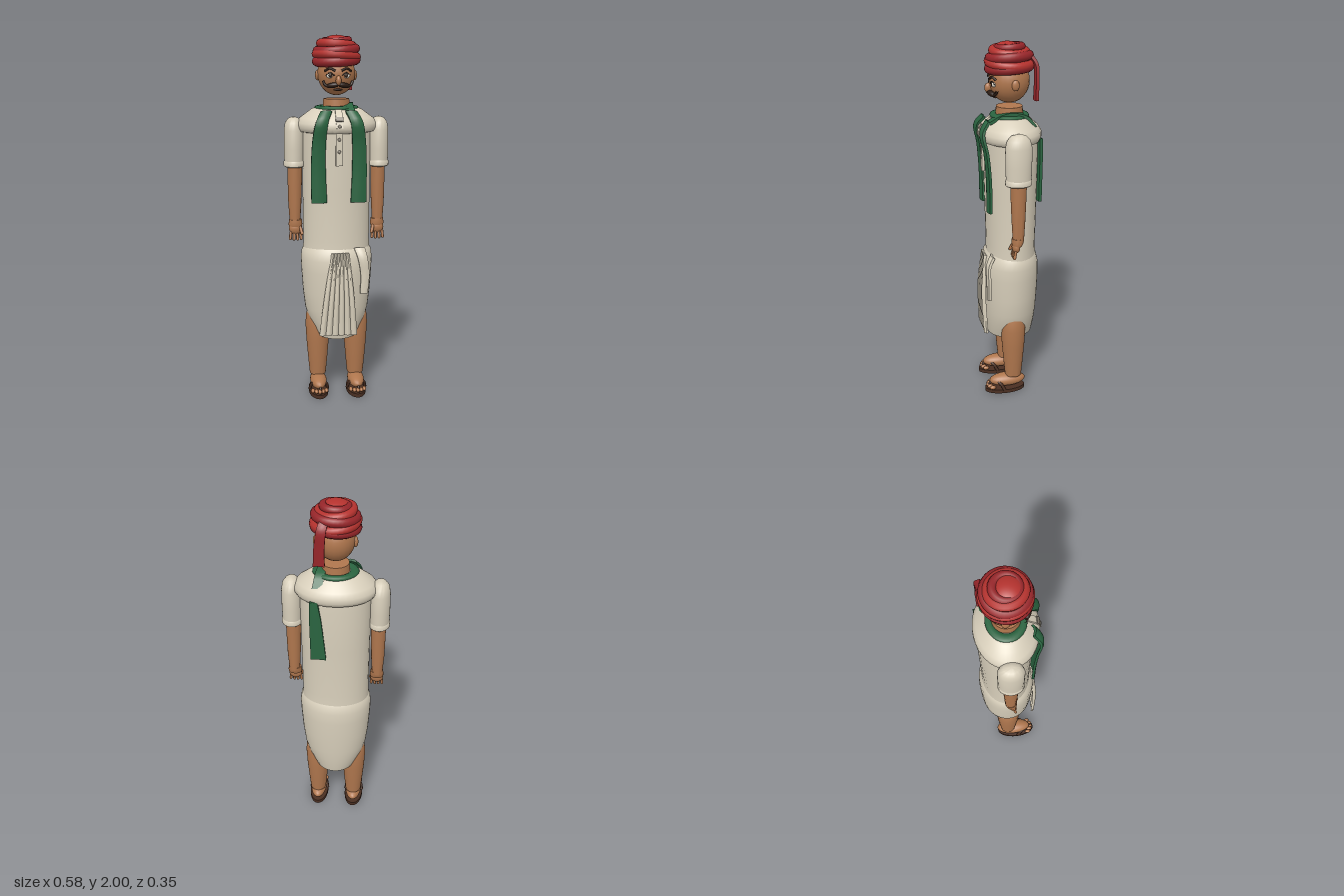
import * as THREE from 'three';
import { toCreasedNormals } from 'three/addons/utils/BufferGeometryUtils.js';

const mat = (name, color) => {
  const m = new THREE.MeshStandardMaterial({ color });
  m.name = name;
  return m;
};

// Closed loft through elliptical rings [y, rx, rz, cx, cz], bottom to top
function loft(rings, sides = 32) {
  const first = rings[0], last = rings[rings.length - 1];
  const all = [[first[0], 0.0005, 0.0005, first[3], first[4]], ...rings,
    [last[0], 0.0005, 0.0005, last[3], last[4]]];
  const pos = [], idx = [];
  all.forEach(([y, rx, rz, cx = 0, cz = 0], i) => {
    for (let j = 0; j < sides; j++) {
      const a = (j / sides) * Math.PI * 2;
      pos.push(cx + Math.sin(a) * rx, y, cz + Math.cos(a) * rz);
      if (i === 0) continue;
      const k = (j + 1) % sides, b = (i - 1) * sides, t = i * sides;
      idx.push(b + j, b + k, t + k, b + j, t + k, t + j);
    }
  });
  const g = new THREE.BufferGeometry();
  g.setAttribute('position', new THREE.Float32BufferAttribute(pos, 3));
  g.setIndex(idx);
  return toCreasedNormals(g, 0.8);
}

// Cloth strip that follows a curve, with width along x
function ribbon(points, w0, w1, thick, bulge = 0) {
  const curve = new THREE.CatmullRomCurve3(points.map((p) => new THREE.Vector3(...p)));
  const g = new THREE.BoxGeometry(1, 1, 1, 6, 16, 1);
  const p = g.attributes.position;
  for (let i = 0; i < p.count; i++) {
    const t = 0.5 - p.getY(i), vx = p.getX(i);
    const c = curve.getPoint(t), d = curve.getTangent(t);
    const off = p.getZ(i) * thick + bulge * (1 - 4 * vx * vx);
    const n = Math.hypot(d.y, d.z) || 1;
    p.setXYZ(i, c.x + vx * (w0 + (w1 - w0) * t), c.y + off * d.z / n, c.z - off * d.y / n);
  }
  return toCreasedNormals(g, 0.7);
}

const tube = (points, r, n = 16) => new THREE.TubeGeometry(
  new THREE.CatmullRomCurve3(points.map((p) => new THREE.Vector3(...p))), n, r, 8);

export function createModel() {
  const model = new THREE.Group();
  const skin = mat('skin', 0xb0774e), cloth = mat('cream cloth', 0xd8cfbb);
  const red = mat('turban red', 0xb5322e), darkRed = mat('turban dark red', 0x98262a);
  const green = mat('scarf green', 0x2a6440), hair = mat('dark hair', 0x2b1c14);
  const leather = mat('sandal leather', 0x4a2f22), white = mat('eye white', 0xece6d8);
  const button = mat('button grey', 0x8c8578);

  const add = (name, geo, m, pos = [0, 0, 0], scale = [1, 1, 1], rot = [0, 0, 0]) => {
    const mesh = new THREE.Mesh(geo, m);
    mesh.name = name;
    mesh.position.set(...pos);
    mesh.scale.set(...scale);
    mesh.rotation.set(...rot);
    model.add(mesh);
    return mesh;
  };
  const ball = new THREE.SphereGeometry(1, 24, 16);

  // Tunic, shoulder yoke and wrapped lower cloth
  add('tunic', loft([[0.845, 0.186, 0.138, 0, -0.005], [0.9, 0.184, 0.135, 0, -0.005],
    [1.2, 0.186, 0.142, 0, -0.006], [1.45, 0.188, 0.148, 0, -0.005], [1.55, 0.185, 0.145]]), cloth);
  add('yoke', loft([[1.49, 0.19, 0.148], [1.495, 0.208, 0.16], [1.515, 0.22, 0.168], [1.54, 0.219, 0.167],
    [1.565, 0.2, 0.15], [1.59, 0.165, 0.122], [1.612, 0.135, 0.1], [1.622, 0.11, 0.085]], 40), cloth);
  add('lowerWrap', loft([[0.34, 0.115, 0.126], [0.38, 0.135, 0.134], [0.44, 0.16, 0.142], [0.5, 0.177, 0.148],
    [0.6, 0.189, 0.154], [0.72, 0.197, 0.159], [0.79, 0.2, 0.157], [0.835, 0.194, 0.146],
    [0.86, 0.178, 0.13]], 40), cloth);

  // Front pleats and hanging fold
  for (let i = 0; i < 6; i++) {
    const a = -0.032 + i * 0.0155, b = -0.092 + i * 0.035;
    add('pleat', ribbon([[a, 0.84, 0.138], [a + (b - a) * 0.55, 0.62, 0.156], [b, 0.375, 0.148]],
      0.019, 0.036, 0.01, 0.012), cloth);
  }
  add('sideFold', ribbon([[0.115, 0.86, 0.115], [0.13, 0.81, 0.14], [0.143, 0.72, 0.142], [0.138, 0.61, 0.14]],
    0.06, 0.042, 0.014, 0.008), cloth);

  // Placket, collar tabs and buttons
  add('placket', new THREE.BoxGeometry(0.036, 0.21, 0.014), cloth, [0, 1.425, 0.146]);
  add('placketTop', ribbon([[0, 1.61, 0.105], [0, 1.57, 0.148], [0, 1.52, 0.168]], 0.036, 0.036, 0.012), cloth);
  add('collarGap', new THREE.BoxGeometry(0.04, 0.025, 0.008), button, [0, 1.567, 0.157], [1, 1, 1], [-0.6, 0, 0]);
  for (const y of [1.53, 1.46, 1.395]) {
    add('button', ball, button, [0, y, y > 1.5 ? 0.172 : 0.154], [0.009, 0.009, 0.005]);
  }

  // Scarf: neck ring, two front ends and one end on the back
  add('scarfRing', new THREE.TorusGeometry(0.088, 0.022, 10, 32), green, [0, 1.617, 0], [1.1, 0.95, 0.6],
    [Math.PI / 2, 0, 0]);
  for (const s of [-1, 1]) {
    add('scarfEnd', ribbon([[s * 0.066, 1.605, 0.125], [s * 0.092, 1.55, 0.16], [s * 0.106, 1.45, 0.143],
      [s * 0.11, 1.3, 0.131], [s * 0.106, 1.12, 0.129]], 0.06, 0.084, 0.014, 0.01), green);
  }
  add('scarfShoulder', ribbon([[0.085, 1.57, -0.118], [0.075, 1.62, -0.075], [0.065, 1.637, 0],
    [0.06, 1.625, 0.06], [0.066, 1.595, 0.12]], 0.05, 0.05, 0.016), green);
  add('scarfBack', ribbon([[0.1, 1.51, -0.146], [0.092, 1.4, -0.147], [0.078, 1.16, -0.145]],
    0.04, 0.082, 0.016, 0.004), green);

  // Neck and head
  add('neck', new THREE.CylinderGeometry(0.07, 0.075, 0.07, 28), skin, [0, 1.632, 0]);
  add('head', ball, skin, [0, 1.8, 0], [0.101, 0.116, 0.107]);
  add('nose', ball, skin, [0, 1.765, 0.112], [0.015, 0.026, 0.02]);
  add('lip', ball, leather, [0, 1.716, 0.078], [0.024, 0.006, 0.01]);
  for (const s of [-1, 1]) {
    add('ear', ball, skin, [s * 0.101, 1.79, -0.012], [0.012, 0.028, 0.02]);
    add('eye', ball, white, [s * 0.042, 1.79, 0.09], [0.02, 0.014, 0.012]);
    add('pupil', ball, hair, [s * 0.042, 1.79, 0.099], [0.009, 0.01, 0.006]);
    add('eyelid', tube([[s * 0.02, 1.79, 0.104], [s * 0.042, 1.805, 0.101], [s * 0.064, 1.791, 0.088]], 0.003), hair);
    add('eyebrow', tube([[s * 0.016, 1.815, 0.107], [s * 0.044, 1.827, 0.1], [s * 0.07, 1.814, 0.082]], 0.006), hair);
    add('moustache', ball, hair, [s * 0.03, 1.74, 0.101], [0.036, 0.014, 0.016], [0, s * 0.4, -s * 0.15]);
    add('moustacheTip', tube([[s * 0.05, 1.735, 0.096], [s * 0.07, 1.743, 0.086], [s * 0.078, 1.762, 0.08]], 0.007), hair);
  }

  // Turban: stacked wraps with alternating tilt, crown and hanging tail
  add('turbanBase', ball, red, [0, 1.905, 0], [0.105, 0.088, 0.105]);
  const wraps = [[1.867, 0.103, 0.028, 0.06, 0.05], [1.893, 0.106, 0.026, -0.05, -0.08],
    [1.923, 0.1, 0.027, 0.06, 0.07], [1.95, 0.084, 0.025, -0.04, -0.08], [1.97, 0.062, 0.022, 0.06, 0.06]];
  wraps.forEach(([y, r, t, tx, tz], i) => {
    add('turbanWrap', new THREE.TorusGeometry(r, t, 10, 36), i % 2 ? red : darkRed, [0, y, 0],
      [1, 1, 0.95], [Math.PI / 2 + tx, tz, 0]);
  });
  add('turbanCrown', ball, red, [0, 1.962, 0.01], [0.074, 0.038, 0.07]);
  add('turbanTail', ribbon([[0.05, 1.93, -0.105], [0.06, 1.89, -0.128], [0.07, 1.8, -0.129], [0.072, 1.705, -0.126]],
    0.045, 0.058, 0.016, 0.004), darkRed);

  for (const s of [-1, 1]) {
    // Sleeve, cuff and arm
    const x = s * 0.232;
    add('sleeve', loft([[1.31, 0.052, 0.066, x], [1.4, 0.054, 0.069, x], [1.5, 0.053, 0.07, x],
      [1.54, 0.046, 0.06, x], [1.562, 0.03, 0.04, x], [1.57, 0.01, 0.014, x]]), cloth);
    add('cuff', loft([[1.3, 0.05, 0.064, x], [1.305, 0.056, 0.07, x], [1.328, 0.056, 0.07, x],
      [1.335, 0.05, 0.066, x]]), cloth);
    add('forearm', loft([[0.99, 0.029, 0.03, x - s * 0.002], [1.1, 0.036, 0.036, x - s * 0.002],
      [1.22, 0.039, 0.041, x - s * 0.003], [1.32, 0.04, 0.044, x - s * 0.003]], 24), skin);

    // Hand
    const hx = s * 0.228;
    add('wrist', loft([[0.965, 0.036, 0.026, hx, 0.006], [0.98, 0.038, 0.032, hx, 0.004],
      [1.005, 0.035, 0.032, hx, 0.002]], 20), skin);
    add('palm', ball, skin, [hx, 0.955, 0.012], [0.036, 0.035, 0.022]);
    for (let i = 0; i < 4; i++) {
      const fx = hx + (i - 1.5) * 0.019;
      add('finger', new THREE.CapsuleGeometry(0.008, 0.045 - Math.abs(i - 1.5) * 0.006, 4, 8), skin,
        [fx, 0.918, 0.022], [1, 1, 1], [-0.2, 0, (i - 1.5) * 0.06]);
    }
    add('thumb', new THREE.CapsuleGeometry(0.009, 0.035, 4, 8), skin, [hx - s * 0.03, 0.948, 0.03],
      [1, 1, 1], [-0.4, 0, -s * 0.25]);

    // Leg, foot and toes
    const lx = s * 0.108;
    add('leg', loft([[0.095, 0.046, 0.047, lx], [0.18, 0.054, 0.055, lx], [0.3, 0.064, 0.065, lx],
      [0.4, 0.069, 0.07, lx], [0.46, 0.064, 0.064, lx], [0.5, 0.05, 0.05, lx]]), skin);
    add('foot', ball, skin, [lx, 0.064, 0.035], [0.047, 0.038, 0.105]);
    for (let i = 0; i < 5; i++) {
      const k = i - 2;
      add('toe', ball, skin, [lx + k * 0.019, 0.036, 0.143 - k * k * 0.004], [0.011, 0.012, 0.018]);
    }

    // Sandal
    add('sole', new THREE.CylinderGeometry(1, 1, 0.022, 32), leather, [lx, 0.011, 0.05], [0.055, 1, 0.116]);
    add('strap', tube([[lx - 0.052, 0.02, 0.06], [lx - 0.038, 0.062, 0.085], [lx, 0.066, 0.115],
      [lx + 0.038, 0.062, 0.085], [lx + 0.052, 0.02, 0.06]], 0.009, 24), leather);
    add('toePost', tube([[lx, 0.068, 0.112], [lx + 0.004, 0.05, 0.138], [lx + 0.006, 0.02, 0.145]], 0.007), leather);
  }
  return model;
}
